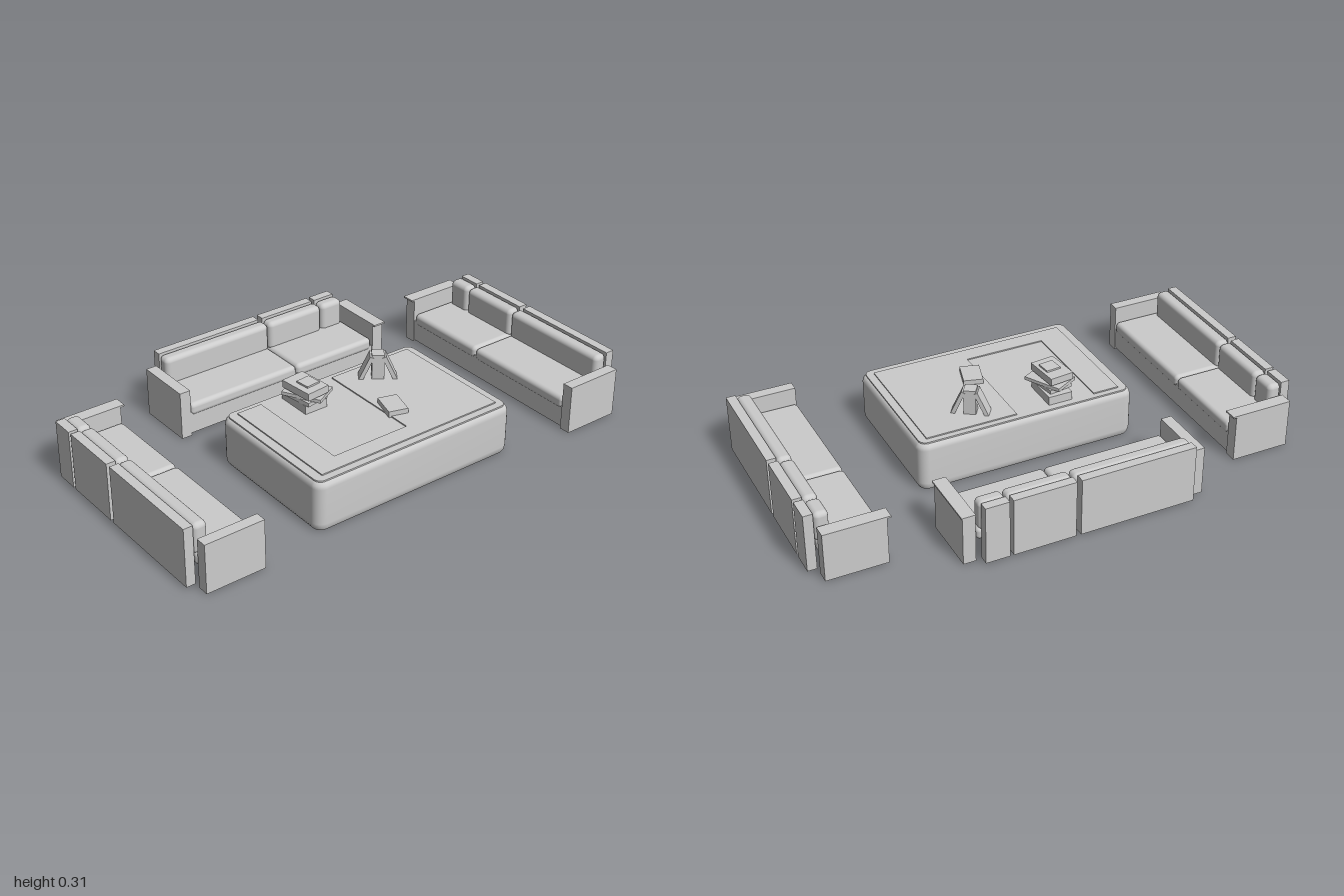
import * as THREE from 'three';
import { RoundedBoxGeometry } from 'three/addons/geometries/RoundedBoxGeometry.js';

const material = new THREE.MeshStandardMaterial({ color: 0xcccccc, side: THREE.DoubleSide });

function add(parent, name, geometry) {
  const mesh = new THREE.Mesh(geometry, material);
  mesh.name = name;
  parent.add(mesh);
  return mesh;
}

// Box given by its minimum and maximum on each axis, optionally rounded
function span(parent, name, [x0, x1], [y0, y1], [z0, z1], radius = 0) {
  const size = [x1 - x0, y1 - y0, Math.abs(z1 - z0)];
  const geometry = radius
    ? new RoundedBoxGeometry(...size, 4, radius)
    : new THREE.BoxGeometry(...size);
  const mesh = add(parent, name, geometry);
  mesh.position.set((x0 + x1) / 2, (y0 + y1) / 2, (z0 + z1) / 2);
  return mesh;
}

// Sofa along x; s = 1 has its back toward +z, s = -1 toward -z
function createSofa(name, s) {
  const sofa = new THREE.Group();
  sofa.name = name;
  const depth = (a, b) => [a * s, b * s];

  // Arms, one with a thin overhanging cap
  span(sofa, 'cappedArm', [-0.41, -0.36], [0, 0.195], depth(0.718, 0.96));
  span(sofa, 'armCap', [-0.412, -0.358], [0.193, 0.2], depth(0.703, 0.96));
  span(sofa, 'plainArm', [0.53, 0.575], [0, 0.2], depth(0.718, 0.96));

  // Back panels with gaps, and the cushions in front of them
  for (const [a, b] of [[-0.34, -0.245], [-0.23, 0.02], [0.04, 0.513]])
    span(sofa, 'backPanel', [a, b], [0.008, 0.245], depth(0.963, 1));
  for (const [a, b] of [[-0.345, -0.242], [-0.238, 0.023], [0.027, 0.515]])
    span(sofa, 'backCushion', [a, b], [0.12, 0.243], depth(0.905, 0.962), 0.02);

  // Skirt below two seat cushions; the base is open underneath
  span(sofa, 'frontSkirt', [-0.36, 0.53], [0.008, 0.1], depth(0.722, 0.73));
  for (const [a, b] of [[-0.355, 0.024], [0.026, 0.53]])
    span(sofa, 'seatCushion', [a, b], [0.083, 0.135], depth(0.717, 0.96), 0.018);
  return sofa;
}

// Rounded rectangle outline in the x-z plane, centred on the table
function outline(inset) {
  const w = 0.3 - inset, d = 0.455 - inset, r = 0.04 - inset * 0.8, points = [];
  for (let c = 0; c < 4; c++) {
    const sx = c === 0 || c === 3 ? 1 : -1, sz = c < 2 ? 1 : -1;
    for (let i = 0; i <= 6; i++) {
      const a = (c + i / 6) * Math.PI / 2;
      points.push([sx * (w - r) + r * Math.cos(a), sz * (d - r) + r * Math.sin(a)]);
    }
  }
  return points;
}

// Open-bottomed shell lofted through [inset, height] sections
function shell(profile) {
  const positions = [], index = [], n = 28;
  for (const [inset, y] of profile)
    for (const [x, z] of outline(inset)) positions.push(x, y, z);
  for (let k = 0; k < profile.length - 1; k++)
    for (let i = 0; i < n; i++) {
      const a = k * n + i, b = k * n + (i + 1) % n;
      index.push(a, a + n, b, b, a + n, b + n);
    }
  const geometry = new THREE.BufferGeometry();
  geometry.setAttribute('position', new THREE.Float32BufferAttribute(positions, 3));
  geometry.setIndex(index);
  geometry.computeVertexNormals();
  return geometry;
}

// Flat plate from an x-z outline, rising from y by the thickness
function plate(parent, name, points, y, thickness) {
  const shape = new THREE.Shape(points.map(([x, z]) => new THREE.Vector2(x, -z)));
  const geometry = new THREE.ExtrudeGeometry(shape, { depth: thickness, bevelEnabled: false });
  geometry.rotateX(-Math.PI / 2);
  add(parent, name, geometry).position.y = y;
}

function createTable() {
  const table = new THREE.Group();
  table.name = 'table';
  table.position.set(0.228, 0, 0.005);
  add(table, 'tableBody', shell([
    [0.01, 0], [0.003, 0.012], [0, 0.03], [0, 0.175], [0.003, 0.188], [0.01, 0.198], [0.018, 0.2],
  ]));
  plate(table, 'tableTop', outline(0.014), 0.198, 0.007);
  // C-shaped raised inlay
  plate(table, 'tableInlay', [
    [-0.263, -0.41], [0.257, -0.41], [0.257, 0.405], [-0.263, 0.405],
    [-0.263, 0.298], [0.187, 0.298], [0.187, -0.035], [-0.263, -0.035],
  ], 0.205, 0.005);
  return table;
}

function createDecor() {
  const decor = new THREE.Group();
  decor.name = 'tableDecor';

  // Stack of slabs: x, z, width, depth, bottom, top, turn
  const books = [
    [0.045, 0.16, 0.15, 0.1, 0.205, 0.24, 0],
    [0.06, 0.165, 0.13, 0.1, 0.24, 0.256, 0.15],
    [0.062, 0.16, 0.16, 0.11, 0.256, 0.27, 0.5],
    [0.068, 0.172, 0.145, 0.1, 0.275, 0.305, 0.1],
    [0.075, 0.165, 0.06, 0.06, 0.305, 0.312, 0.1],
    [0.07, 0.17, 0.12, 0.08, 0.27, 0.275, 0.1],
    [0.283, -0.073, 0.11, 0.078, 0.205, 0.23, -0.28],
  ];
  for (const [x, z, w, d, y0, y1, turn] of books) {
    const book = add(decor, 'book', new THREE.BoxGeometry(w, y1 - y0, d));
    book.position.set(x, (y0 + y1) / 2, z);
    book.rotation.y = turn;
  }

  // Standing ornament: central block with two leaning boards
  const ornament = new THREE.Group();
  ornament.name = 'ornament';
  ornament.position.set(0.062, 0.205, -0.178);
  ornament.rotation.y = 0.96;
  span(ornament, 'ornamentBlock', [-0.024, 0.024], [0, 0.108], [-0.025, 0.025]);
  for (const s of [-1, 1]) {
    const board = add(ornament, 'leaningBoard', new THREE.BoxGeometry(0.016, 0.11, 0.055));
    board.position.set(s * 0.046, 0.049, 0);
    board.rotation.z = s * 0.42;
  }
  decor.add(ornament);
  return decor;
}

export function createModel() {
  const model = new THREE.Group();
  model.name = 'livingRoomSet';
  const sideSofa = createSofa('sideSofa', 1);
  sideSofa.rotation.y = -Math.PI / 2;
  sideSofa.position.set(0.422, 0, -0.08);
  model.add(createSofa('frontSofa', 1), createSofa('backSofa', -1), sideSofa, createTable(), createDecor());
  return model;
}
